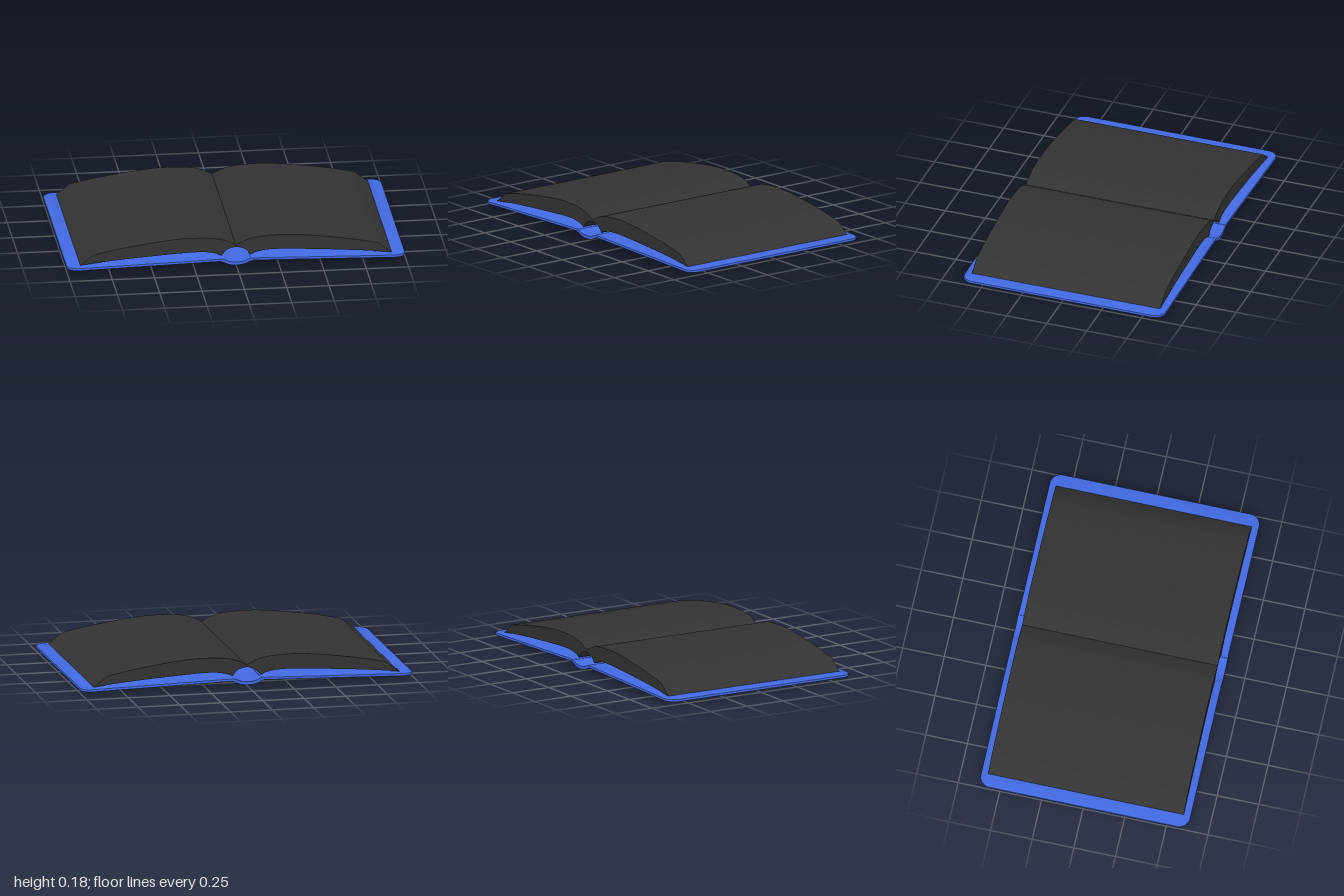
import * as THREE from 'three';
import { toCreasedNormals } from 'three/addons/utils/BufferGeometryUtils.js';

const blue = new THREE.MeshStandardMaterial({ color: 0x4169e1 });
const dark = new THREE.MeshStandardMaterial({ color: 0x333333 });

const mirror = (pts) => pts.map(([x, y]) => [-x, y]).reverse();
const smooth = (pts, n) => new THREE.SplineCurve(pts.map(p => new THREE.Vector2(...p))).getPoints(n);

function mesh(name, geometry, material) {
  const m = new THREE.Mesh(toCreasedNormals(geometry, 0.5), material);
  m.name = name;
  return m;
}

// Extrudes a shape along z, centred on z = 0
function extrudeZ(shape, length, bevel = 0) {
  const g = new THREE.ExtrudeGeometry(shape, {
    depth: length - 2 * bevel, bevelEnabled: bevel > 0,
    bevelSize: bevel, bevelThickness: bevel, bevelSegments: 2, curveSegments: 8,
  });
  return g.translate(0, 0, -length / 2 + bevel);
}

// Cover board for the +x side: rounded outer corners, sloping down outwards
function boardGeometry() {
  const b = 0.007, x0 = 0.08 + b, x1 = 1 - b, h = 0.63 - b, r = 0.06;
  const s = new THREE.Shape();
  s.moveTo(x0, -h);
  s.lineTo(x1 - r, -h);
  s.absarc(x1 - r, -h + r, r, -Math.PI / 2, 0, false);
  s.absarc(x1 - r, h - r, r, 0, Math.PI / 2, false);
  s.lineTo(x0, h);
  const g = extrudeZ(s, 0.018, b).rotateX(-Math.PI / 2);
  const p = g.attributes.position;
  for (let i = 0; i < p.count; i++) {
    const t = (p.getX(i) - 0.08) / 0.92;
    p.setY(i, p.getY(i) + 0.046 - 0.023 * t);
  }
  return g;
}

// Curved strip between a lower and an upper line, both given for x >= 0
function curvedStrip(lower, upper) {
  const lo = [...mirror(lower.slice(1)), ...lower];
  const up = [...mirror(upper.slice(1)), ...upper].reverse();
  return new THREE.Shape([...smooth(lo, 20), ...smooth(up, 20)]);
}

// Page block section for the +x side
function pageShape() {
  const top = smooth([[0, 0.122], [0.05, 0.148], [0.12, 0.168], [0.25, 0.176],
    [0.38, 0.171], [0.55, 0.15], [0.7, 0.127], [0.84, 0.098]], 16);
  const under = smooth([[0.92, 0.036], [0.75, 0.055], [0.5, 0.074], [0.25, 0.088],
    [0.14, 0.08], [0.085, 0.06]], 14);
  const hollow = smooth([[0.085, 0.06], [0.065, 0.086], [0.035, 0.104], [0, 0.11]], 8);
  return new THREE.Shape([...top, ...under, ...hollow.slice(1)].reverse());
}

export function createModel() {
  const book = new THREE.Group();
  book.name = 'openBook';

  // Boards: the second is the first turned half round
  book.add(mesh('leftCover', boardGeometry(), blue));
  book.add(mesh('rightCover', boardGeometry().rotateY(Math.PI), blue));

  // Spine trough joining the boards
  const spine = curvedStrip(
    [[0, 0.013], [0.045, 0.018], [0.075, 0.031], [0.095, 0.038]],
    [[0, 0.032], [0.045, 0.037], [0.07, 0.048], [0.095, 0.054]]);
  book.add(mesh('spine', extrudeZ(spine, 1.26), blue));

  // Raised bands across the back of the spine
  const band = curvedStrip(
    [[0, 0.01], [0.04, 0.015], [0.075, 0.032]],
    [[0, 0.022], [0.04, 0.027], [0.075, 0.038]]);
  for (const z of [0.43, 0.22, -0.43])
    book.add(mesh('spineBand', extrudeZ(band, 0.044, 0.009).translate(0, 0, z), blue));

  // Page blocks
  const pages = extrudeZ(pageShape(), 1.175);
  book.add(mesh('leftPages', pages, dark));
  book.add(mesh('rightPages', pages.clone().rotateY(Math.PI), dark));
  return book;
}
